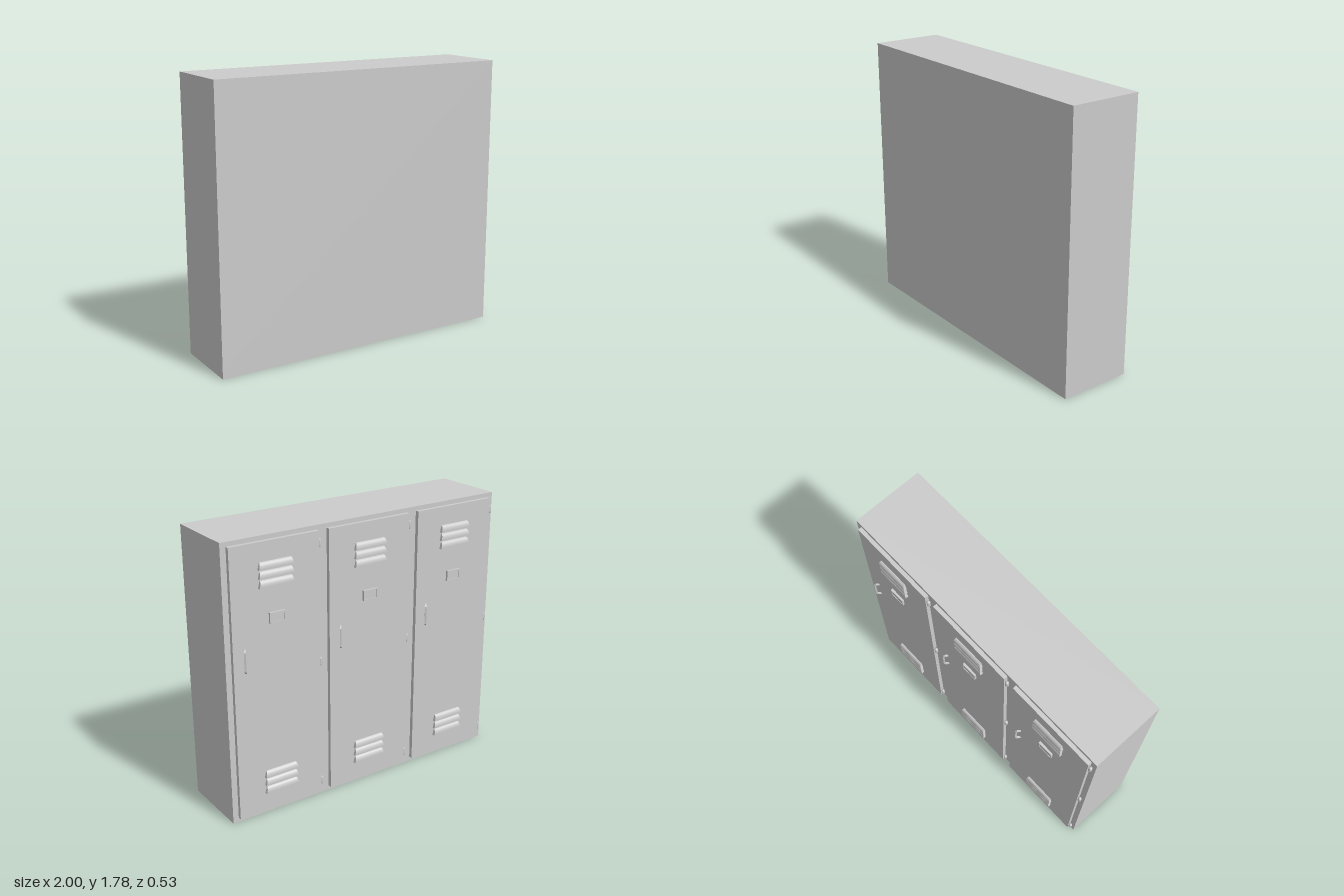
import * as THREE from 'three';

const material = new THREE.MeshStandardMaterial({ color: 0xcccccc });
const FRONT = -0.21, DOOR = -0.235; // cabinet face and door face, both looking to -z
const PITCH = 0.665;

function add(parent, name, geometry, x = 0, y = 0, z = 0) {
  const mesh = new THREE.Mesh(geometry, material);
  mesh.name = name;
  mesh.position.set(x, y, z);
  parent.add(mesh);
  return mesh;
}

// Box given by its limits
function slab(parent, name, x0, x1, y0, y1, z0, z1) {
  return add(parent, name, new THREE.BoxGeometry(x1 - x0, y1 - y0, z1 - z0),
    (x0 + x1) / 2, (y0 + y1) / 2, (z0 + z1) / 2);
}

// Hooded vent slat: quarter-round section, slightly narrower at its top
function louverGeometry(width, height, depth) {
  const s = new THREE.Shape();
  s.moveTo(0, 0);
  s.lineTo(depth, 0);
  s.lineTo(depth, height * 0.25);
  s.quadraticCurveTo(depth * 0.9, height * 0.85, 0, height);
  s.closePath();
  const g = new THREE.ExtrudeGeometry(s, { depth: width, bevelEnabled: false, curveSegments: 8 });
  g.translate(0, 0, -width / 2);
  g.rotateY(Math.PI / 2); // section's outward axis now points to -z
  const p = g.attributes.position;
  for (let i = 0; i < p.count; i++) p.setX(i, p.getX(i) * (1 - 0.1 * p.getY(i) / height));
  g.computeVertexNormals();
  return g;
}

// D-shaped pull cut from flat bar
function handleGeometry(height, reach, bar, thickness) {
  const h = height / 2, c = 0.012;
  const s = new THREE.Shape();
  s.moveTo(0, -h);
  s.lineTo(reach - c, -h);
  s.lineTo(reach, -h + c);
  s.lineTo(reach, h - c);
  s.lineTo(reach - c, h);
  s.lineTo(0, h);
  s.lineTo(0, h - bar);
  s.lineTo(reach - c - bar / 2, h - bar);
  s.lineTo(reach - bar, h - c - bar / 2);
  s.lineTo(reach - bar, -h + c + bar / 2);
  s.lineTo(reach - c - bar / 2, -h + bar);
  s.lineTo(0, -h + bar);
  s.closePath();
  const g = new THREE.ExtrudeGeometry(s, { depth: thickness, bevelEnabled: false });
  g.translate(0, 0, -thickness / 2);
  return g.rotateY(Math.PI / 2);
}

function createLockerDoor() {
  const door = new THREE.Group();
  slab(door, 'doorPanel', -0.297, 0.297, 0.03, 1.757, DOOR, FRONT);

  // Upper and lower vents
  const louver = louverGeometry(0.235, 0.044, 0.02);
  for (const base of [1.487, 0.155])
    for (let i = 0; i < 3; i++) add(door, 'ventLouver', louver, 0, base + i * 0.054, DOOR);

  // Name card holder with a raised rim
  const rim = new THREE.Shape();
  rim.moveTo(-0.053, -0.033);
  rim.lineTo(0.053, -0.033);
  rim.lineTo(0.053, 0.033);
  rim.lineTo(-0.053, 0.033);
  rim.closePath();
  const hole = new THREE.Path();
  hole.moveTo(-0.046, -0.026);
  hole.lineTo(-0.046, 0.026);
  hole.lineTo(0.046, 0.026);
  hole.lineTo(0.046, -0.026);
  hole.closePath();
  rim.holes.push(hole);
  add(door, 'cardHolderRim', new THREE.ExtrudeGeometry(rim, { depth: 0.014, bevelEnabled: false }), 0, 1.295, DOOR - 0.014);
  slab(door, 'cardHolderPlate', -0.046, 0.046, 1.269, 1.321, DOOR - 0.011, DOOR);

  // Pull handle, leaning outwards
  const handle = add(door, 'handle', handleGeometry(0.143, 0.036, 0.01, 0.011), 0.213, 1.066, DOOR + 0.002);
  handle.rotation.y = -0.65;

  // Hinge knuckles with chamfered ends
  const r = 0.011, h = 0.026;
  const knuckle = new THREE.LatheGeometry([
    [0, -h], [r * 0.6, -h], [r, -h + 0.006], [r, h - 0.006], [r * 0.6, h], [0, h],
  ].map(([a, b]) => new THREE.Vector2(a, b)), 16);
  for (const y of [0.1, 0.93, 1.68]) add(door, 'hinge', knuckle, -0.308, y, FRONT - 0.012);
  return door;
}

export function createModel() {
  const model = new THREE.Group();
  model.name = 'lockerBank';

  // Cabinet, raised over a thin skirt that leaves three recesses underneath
  const BACK = 0.265, RISE = 0.042, T = 0.012;
  slab(model, 'cabinet', -1, 1, RISE, 1.785, FRONT, BACK);
  slab(model, 'skirtFront', -1, 1, 0, RISE, FRONT, FRONT + T);
  slab(model, 'skirtBack', -1, 1, 0, RISE, BACK - T, BACK);
  for (const x of [-1 + T / 2, -0.333, 0.333, 1 - T / 2])
    slab(model, 'skirtDivider', x - T / 2, x + T / 2, 0, RISE, FRONT + T, BACK - T);

  // Three matching doors
  for (let i = -1; i <= 1; i++) {
    const door = createLockerDoor();
    door.name = 'lockerDoor';
    door.position.x = i * PITCH;
    model.add(door);
  }
  return model;
}
